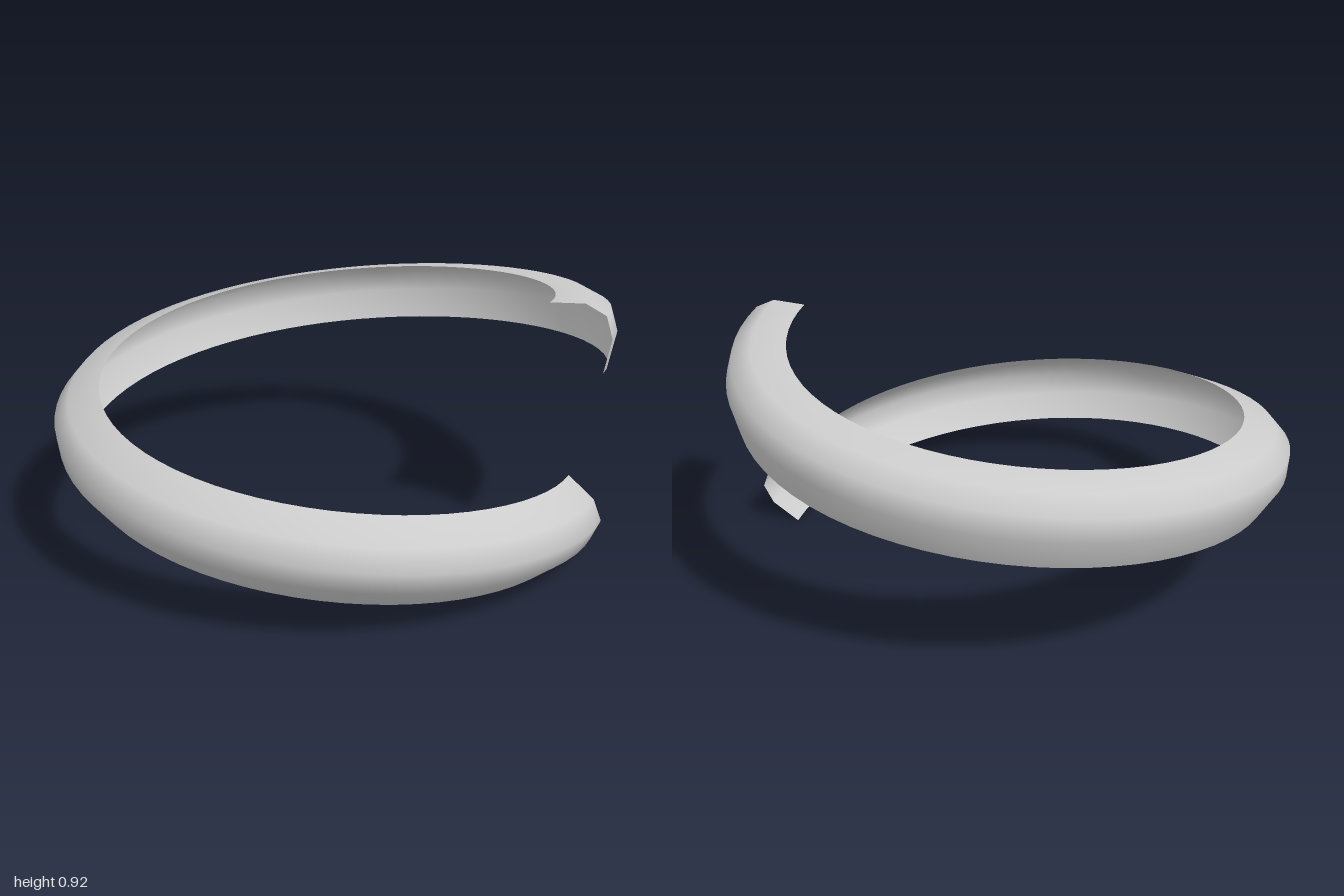
import * as THREE from 'three';

const RADIUS = 0.8725, BOTTOM = 0.148, RISE = 0.653;
const HALF_WIDTH = 0.147, DEPTH = 0.125;
const START = -0.037, SWEEP = 2 * Math.PI + 0.015;
const STEPS = 72, SIDES = 4;

// Point on the band: p runs along the turn, q runs across from lower to upper edge (-1..1)
function bandPoint(p, q) {
  const a = START + SWEEP * p;
  const slope = RISE / (RADIUS * SWEEP);
  const tilt = THREE.MathUtils.degToRad(36 * p + 6 * p * p);
  const radial = new THREE.Vector3(Math.cos(a), 0, Math.sin(a));
  const up = new THREE.Vector3(Math.sin(a) * slope, 1, -Math.cos(a) * slope).normalize();

  // Parabolic channel section, gradually tilting as it climbs
  const along = q * HALF_WIDTH, out = DEPTH * (1 - q * q);
  const r = out * Math.cos(tilt) - along * Math.sin(tilt);
  const h = out * Math.sin(tilt) + along * Math.cos(tilt);
  return new THREE.Vector3(-0.005, BOTTOM + RISE * p, -0.005)
    .addScaledVector(radial, RADIUS + r)
    .addScaledVector(up, h);
}

export function createModel() {
  const positions = [], indices = [];
  const row = SIDES + 1;
  for (let i = 0; i <= STEPS; i++) {
    for (let j = 0; j <= SIDES; j++) {
      positions.push(...bandPoint(i / STEPS, (2 * j) / SIDES - 1).toArray());
      if (i < STEPS && j < SIDES) {
        const k = i * row + j;
        indices.push(k, k + 1, k + row, k + 1, k + row + 1, k + row);
      }
    }
  }
  const geometry = new THREE.BufferGeometry();
  geometry.setAttribute('position', new THREE.Float32BufferAttribute(positions, 3));
  geometry.setIndex(indices);
  geometry.computeVertexNormals();

  // Thin open channel wound into one helical turn
  const band = new THREE.Mesh(
    geometry,
    new THREE.MeshStandardMaterial({ color: 0xcccccc, side: THREE.DoubleSide })
  );
  band.name = 'helicalBand';

  const group = new THREE.Group();
  group.name = 'spiralChannel';
  group.add(band);
  return group;
}
